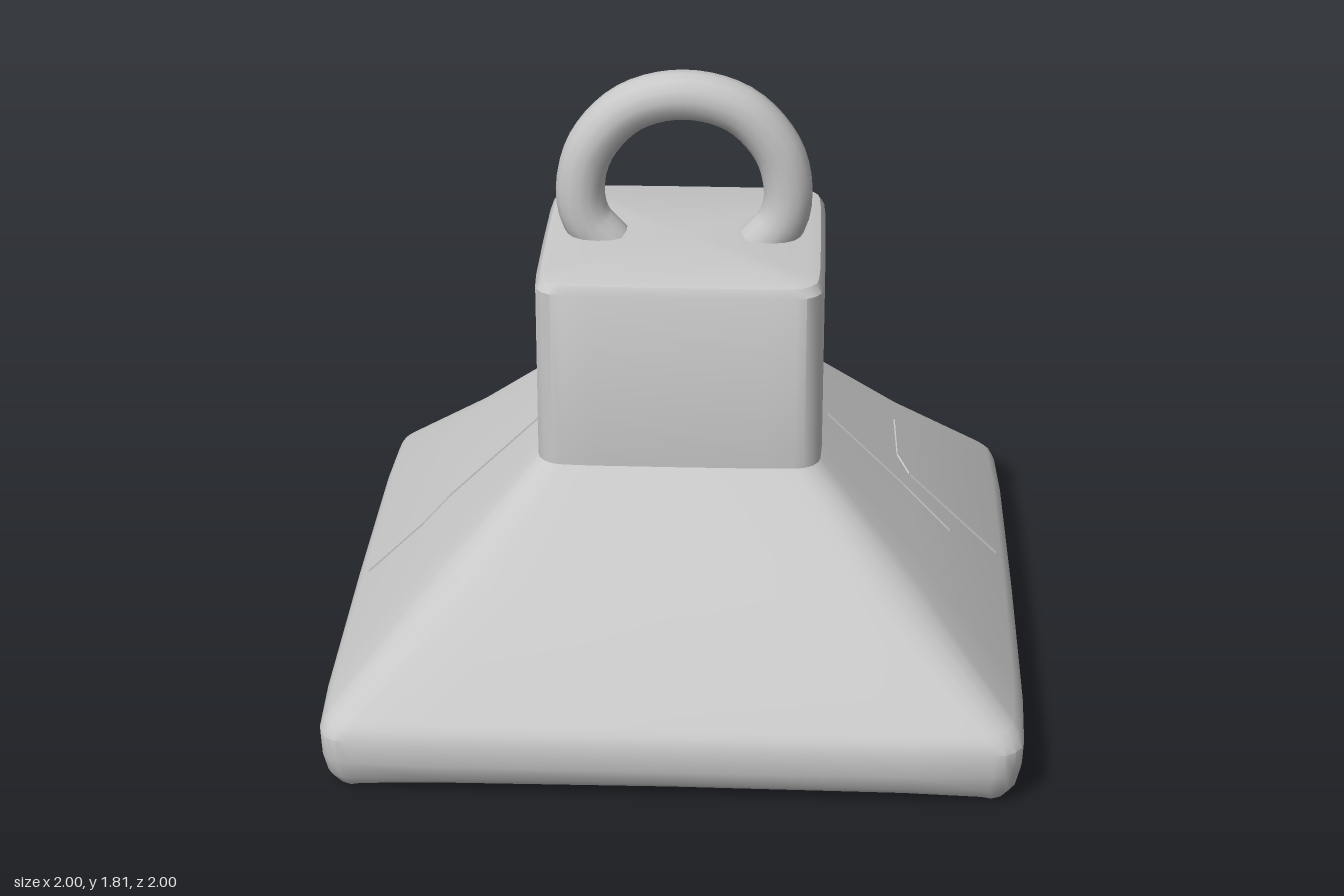
import * as THREE from 'three';
import { toCreasedNormals } from 'three/addons/utils/BufferGeometryUtils.js';

// One rounded-square ring with slightly bowed sides; sag lowers the corners
function ring(y, half, radius, sag = 0) {
  const pts = [];
  const c = half * 0.988 - radius;
  for (let side = 0; side < 4; side++) {
    const a0 = side * Math.PI / 2;
    const turn = (x, z, drop) => pts.push(new THREE.Vector3(
      x * Math.cos(a0) - z * Math.sin(a0), y - drop, x * Math.sin(a0) + z * Math.cos(a0)));
    for (const u of [-0.75, 0, 0.75]) turn(half * (1 - 0.004 * Math.abs(u)), u * c, sag * Math.abs(u) * 0.25);
    for (let i = 0; i <= 4; i++) {
      const a = i * Math.PI / 8;
      turn(c + radius * Math.cos(a), c + radius * Math.sin(a), sag * (0.6 + 0.4 * Math.sin(2 * a)));
    }
  }
  return pts;
}

// Skin the rings in order, optionally closing the first or last one
function loft(rings, capStart, capEnd) {
  const n = rings[0].length, pos = [], idx = [];
  rings.forEach(r => r.forEach(p => pos.push(p.x, p.y, p.z)));
  for (let k = 0; k < rings.length - 1; k++) {
    for (let i = 0; i < n; i++) {
      const a = k * n + i, b = k * n + (i + 1) % n;
      idx.push(a, b, a + n, b, b + n, a + n);
    }
  }
  const cap = (k, flip) => {
    const centre = pos.length / 3;
    pos.push(0, rings[k][0].y, 0);
    for (let i = 0; i < n; i++) {
      const a = k * n + i, b = k * n + (i + 1) % n;
      idx.push(centre, flip ? b : a, flip ? a : b);
    }
  };
  if (capStart) cap(0, true);
  if (capEnd) cap(rings.length - 1, false);
  const g = new THREE.BufferGeometry();
  g.setAttribute('position', new THREE.Float32BufferAttribute(pos, 3));
  g.setIndex(idx);
  return toCreasedNormals(g, 0.6);
}

// Height of the sloping skirt above a ground point
const skirtY = (x, z) => 0.76 - (Math.max(Math.abs(x), Math.abs(z)) - 0.412) * (0.54 / 0.558);

export function createModel() {
  const model = new THREE.Group();
  const iron = new THREE.MeshStandardMaterial({ color: 0xc8c8c8 });
  iron.name = 'grey iron';
  const add = (geometry, name, parent = model) => {
    const mesh = new THREE.Mesh(geometry, iron);
    mesh.name = name;
    parent.add(mesh);
    return mesh;
  };

  // Square neck block with softened edges
  add(loft([
    ring(1.317, 0.375, 0.07), ring(1.31, 0.398, 0.075),
    ring(1.285, 0.412, 0.075), ring(0.76, 0.412, 0.075),
  ], true, false), 'neckBlock');

  // Flared skirt, thick rounded rim and hollow underside
  add(loft([
    ring(0.76, 0.412, 0.075), ring(0.49, 0.691, 0.13), ring(0.22, 0.97, 0.09),
    ring(0.2, 0.985, 0.085), ring(0.17, 0.998, 0.085), ring(0.1, 0.995, 0.085),
    ring(0.055, 0.982, 0.08, 0.015), ring(0.034, 0.96, 0.08, 0.03),
    ring(0.03, 0.94, 0.07, 0.03), ring(0.045, 0.92, 0.07, 0.02),
    ring(0.12, 0.92, 0.07), ring(0.165, 0.91, 0.07),
    ring(0.735, 0.372, 0.05), ring(1.275, 0.372, 0.05),
  ], false, true), 'hollowSkirt');

  // Lifting ring, its ends drawn in and sunk into the block
  const half = [[0.22, 1.285], [0.283, 1.36], [0.301, 1.45], [0.27, 1.58], [0.16, 1.7]];
  const path = [
    ...half.map(([x, y]) => new THREE.Vector3(-x, y, 0)),
    new THREE.Vector3(0, 1.742, 0),
    ...half.map(([x, y]) => new THREE.Vector3(x, y, 0)).reverse(),
  ];
  add(new THREE.TubeGeometry(new THREE.CatmullRomCurve3(path), 40, 0.072, 14), 'liftingRing');

  // Shallow cracks following the skirt faces: outward direction, then x,z points
  const cracks = new THREE.Group();
  cracks.name = 'cracks';
  model.add(cracks);
  const paths = [
    [[0, -1], [-0.62, -0.94], [-0.58, -0.78], [-0.37, -0.73]],
    [[0, -1], [0.11, -0.94], [0.12, -0.72], [-0.1, -0.72]],
    [[0, -1], [-0.28, -0.75], [-0.18, -0.6], [-0.15, -0.43]],
    [[1, 0], [0.64, -0.4], [0.645, -0.16], [0.68, -0.1], [0.95, -0.1]],
    [[1, 0], [0.43, 0], [0.66, 0.01], [0.8, 0.04]],
    [[-1, 0], [-0.43, 0.06], [-0.7, 0.06], [-0.78, 0.1], [-0.95, 0.1]],
  ];
  for (const [[nx, nz], ...pts] of paths) {
    const normal = new THREE.Vector3(nx * 0.7, 0.72, nz * 0.7).normalize();
    for (let i = 0; i < pts.length - 1; i++) {
      const [a, b] = [pts[i], pts[i + 1]].map(([x, z]) => new THREE.Vector3(x, skirtY(x, z), z));
      const along = b.clone().sub(a);
      const length = along.length();
      along.normalize();
      const across = new THREE.Vector3().crossVectors(along, normal).normalize();
      const up = new THREE.Vector3().crossVectors(across, along);
      const strip = add(new THREE.BoxGeometry(length, 0.009, 0.01), 'crack', cracks);
      strip.quaternion.setFromRotationMatrix(new THREE.Matrix4().makeBasis(along, up, across));
      strip.position.copy(a).add(b).multiplyScalar(0.5);
    }
  }
  return model;
}
